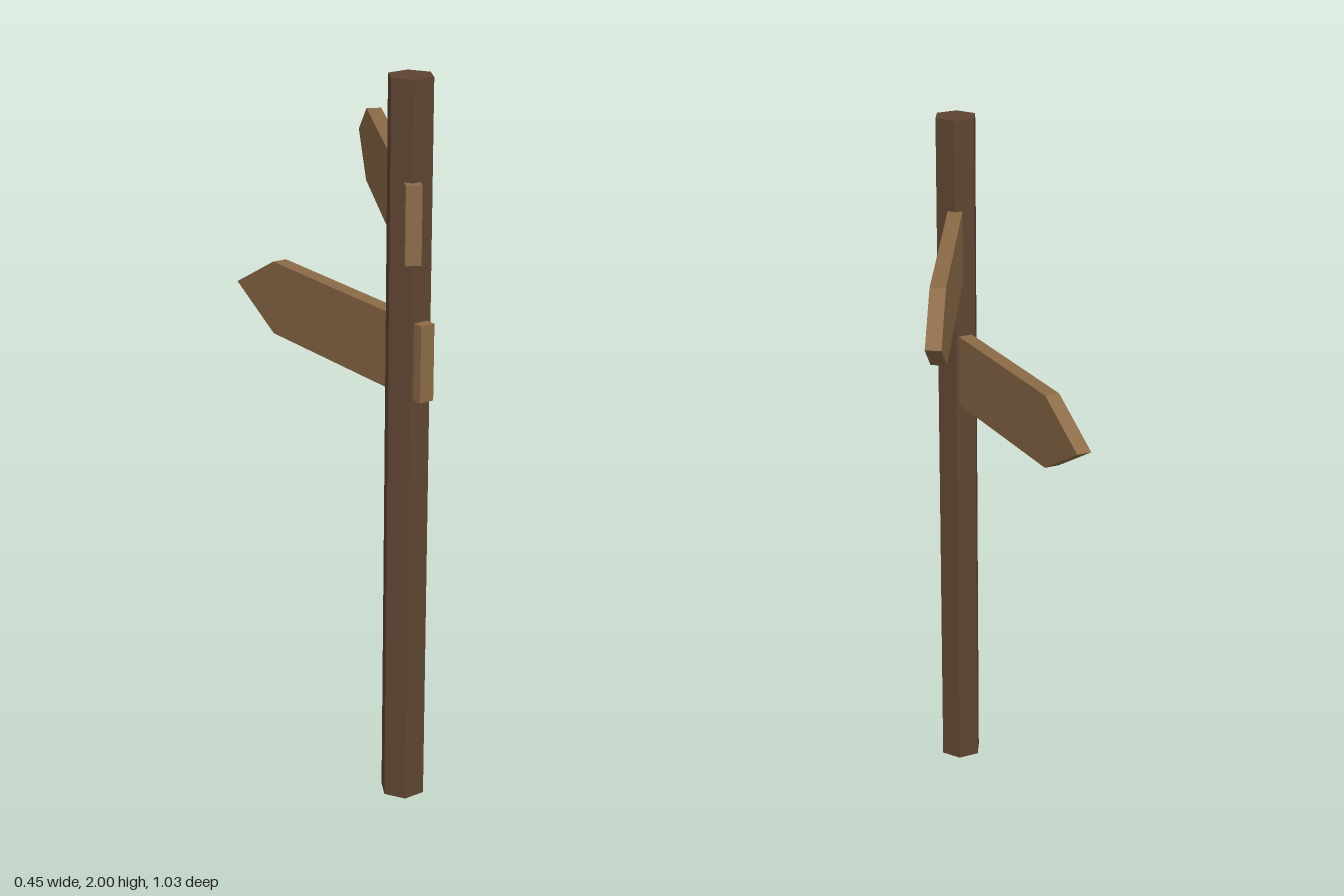
import * as THREE from 'three';

const POST_X = 0.168, POST_Z = 0.43;

// Arrow plank running along local +x, centred on the post axis
function arrowBoard(reach, material) {
  const back = -0.085, shoulder = reach - 0.186, half = 0.104, thick = 0.042;
  const shape = new THREE.Shape();
  shape.moveTo(back, -half);
  shape.lineTo(shoulder, -half);
  shape.lineTo(reach, 0);
  shape.lineTo(shoulder, half);
  shape.lineTo(back, half);
  shape.closePath();
  const geometry = new THREE.ExtrudeGeometry(shape, { depth: thick, bevelEnabled: false });
  geometry.translate(0, 0, -thick / 2);
  return new THREE.Mesh(geometry, material);
}

export function createModel() {
  const model = new THREE.Group();
  model.name = 'signpost';

  const darkWood = new THREE.MeshStandardMaterial({ color: 0x5f4431, flatShading: true });
  darkWood.name = 'darkWood';
  const lightWood = new THREE.MeshStandardMaterial({ color: 0x8b6a46, flatShading: true });
  lightWood.name = 'lightWood';

  // Hexagonal post with a corner facing the front
  const post = new THREE.Mesh(new THREE.CylinderGeometry(0.062, 0.062, 2, 6), darkWood);
  post.name = 'post';
  post.position.set(POST_X, 1, POST_Z);
  model.add(post);

  // Two arrow boards passing through the post: name, reach, height, heading in degrees
  const boards = [
    ['upperArrowBoard', 0.945, 1.635, 90],
    ['lowerArrowBoard', 0.787, 1.266, 118.6],
  ];
  for (const [name, reach, height, heading] of boards) {
    const board = arrowBoard(reach, lightWood);
    board.name = name;
    board.position.set(POST_X, height, POST_Z);
    board.rotation.y = THREE.MathUtils.degToRad(heading);
    model.add(board);
  }

  return model;
}
